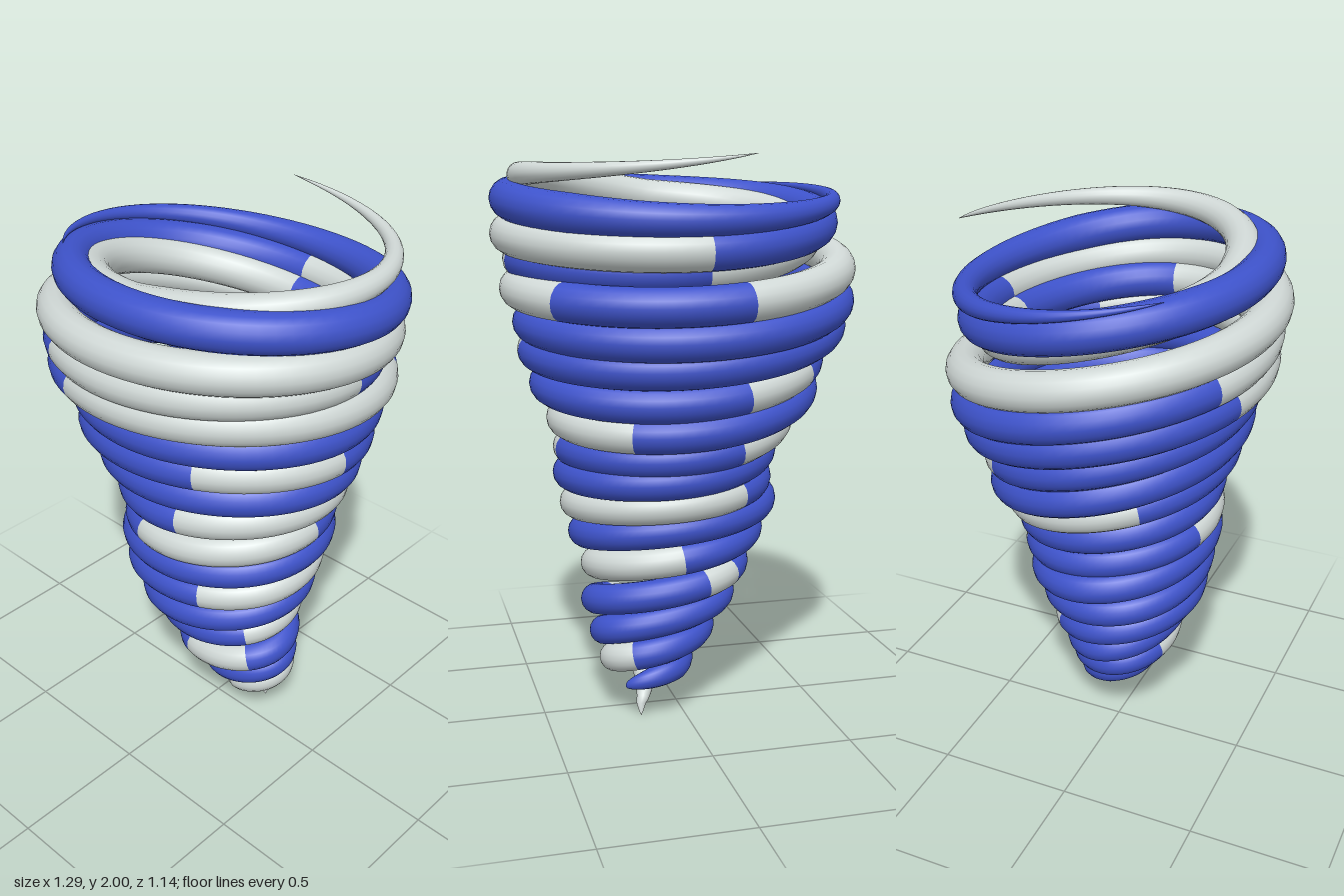
import * as THREE from 'three';

const SIDES = 16, STEPS = 72;
const { lerp, clamp, smoothstep } = THREE.MathUtils;

// Funnel profile: height, centre x, centre z, outer radius along x, along z
const PROFILE = [
  [0, .17, -.12, .03, .03], [.1, .16, -.1, .1, .09], [.18, .12, -.06, .17, .15],
  [.25, .12, -.05, .19, .17], [.37, .08, 0, .28, .21], [.5, .05, 0, .3, .24],
  [.62, .035, .015, .335, .305], [.75, .025, .02, .405, .33], [.85, .04, 0, .4, .36],
  [.97, .06, 0, .4, .375], [1.1, .025, -.02, .425, .39], [1.25, .01, 0, .53, .455],
  [1.4, .01, 0, .56, .475], [1.55, -.02, -.01, .635, .56], [1.75, .01, .01, .645, .57],
  [1.9, .02, -.01, .635, .55], [2.1, .02, -.02, .62, .55],
];

// Two interleaved strands. heights = height at the front of each turn, from turn -1.
// grey = ranges of turns that are grey, the rest is blue.
const STRANDS = [
  {
    // Ends in a long grey tail at the back
    name: 'innerStrand', start: -.75, end: 7.54, taperIn: .4, taperOut: .5,
    scale: t => .98 - .15 * smoothstep(t, 6.05, 6.65) + .23 * smoothstep(t, 6.95, 7.54),
    heights: [.06, .25, .5, .74, .95, 1.21, 1.43, 1.64, 1.87, 2.33],
    grey: [[1.15, 1.5], [2.07, 2.6], [2.95, 3.26], [3.57, 3.85], [4.55, 4.65], [5.92, 6.25], [6.5, 7.54]],
  },
  {
    // Starts in the pointed foot and ends in a short blue tip
    name: 'outerStrand', start: -.15, end: 8.87, taperIn: .16, taperOut: .5,
    scale: t => 1 - .08 * Math.exp(-(((t - 7.72) / .28) ** 2)),
    heights: [-.96, .17, .36, .62, .86, 1.07, 1.33, 1.55, 1.75, 1.89, 1.94],
    grey: [[-.15, .42], [.95, 1.14], [1.57, 1.65], [4.04, 4.42], [5.08, 5.25], [5.95, 6.35], [6.53, 7.5]],
  },
];

function profileRow(y) {
  let i = 0;
  while (i < PROFILE.length - 2 && y > PROFILE[i + 1][0]) i++;
  const a = PROFILE[i], b = PROFILE[i + 1];
  const f = clamp((y - a[0]) / (b[0] - a[0]), 0, 1);
  return a.map((v, k) => lerp(v, b[k], f));
}

// Profile averaged over a small height range, so the coils stay smooth
function profileAt(y) {
  const rows = [-.05, -.025, 0, .025, .05].map(d => profileRow(y + d));
  return rows[0].map((_, k) => rows.reduce((s, r) => s + r[k], 0) / rows.length);
}

const angleAt = t => (t - .25) * Math.PI * 2;

// Full tube radius, swelling towards the top
const tubeRadius = t => lerp(.053, .066, clamp(t / 6, 0, 1));

// Tube radius pointed at both ends of the strand
function thickness(s, t) {
  const a = clamp((t - s.start) / s.taperIn, 0, 1);
  const b = clamp((s.end - t) / s.taperOut, 0, 1);
  return tubeRadius(t) * Math.max(.01, Math.pow(a, .8) * Math.pow(b, .8));
}

// Path of a strand: t counts turns, whole numbers are at the front
function pathPoint(s, t) {
  const u = clamp(t + 1, 0, s.heights.length - 1.001);
  const i = Math.floor(u);
  const h = lerp(s.heights[i], s.heights[i + 1], u - i);
  const [, cx, cz, rx, rz] = profileAt(h);
  const a = angleAt(t), k = s.scale(t), tube = tubeRadius(t);
  // The upper coils sag towards the back
  const sag = .12 * smoothstep(h, .7, 1.35) * Math.pow((1 + Math.sin(a)) / 2, 1.5);
  return new THREE.Vector3(
    cx + Math.max(.01, rx * k - tube) * Math.cos(a),
    h - sag,
    cz - Math.max(.01, rz * k - tube) * Math.sin(a));
}

// Smooth tube of varying thickness along one part of a strand
function tubeGeometry(s, t0, t1) {
  const n = Math.max(3, Math.ceil((t1 - t0) * STEPS));
  const pos = [], nor = [], idx = [];
  for (let i = 0; i <= n; i++) {
    const t = lerp(t0, t1, i / n), a = angleAt(t);
    const p = pathPoint(s, t), r = thickness(s, t);
    const T = pathPoint(s, t + .004).sub(pathPoint(s, t - .004)).normalize();
    const N = new THREE.Vector3(Math.cos(a), 0, -Math.sin(a));
    N.addScaledVector(T, -N.dot(T)).normalize();
    const B = T.clone().cross(N);
    for (let j = 0; j <= SIDES; j++) {
      const f = j / SIDES * Math.PI * 2;
      const d = N.clone().multiplyScalar(Math.cos(f)).addScaledVector(B, Math.sin(f));
      pos.push(p.x + d.x * r, p.y + d.y * r, p.z + d.z * r);
      nor.push(d.x, d.y, d.z);
      if (i < n && j < SIDES) {
        const k = i * (SIDES + 1) + j, m = k + SIDES + 1;
        idx.push(k, k + 1, m, k + 1, m + 1, m);
      }
    }
  }
  const g = new THREE.BufferGeometry();
  g.setAttribute('position', new THREE.Float32BufferAttribute(pos, 3));
  g.setAttribute('normal', new THREE.Float32BufferAttribute(nor, 3));
  g.setIndex(idx);
  return g;
}

export function createModel() {
  const model = new THREE.Group();
  model.name = 'whirlwind';
  const blue = new THREE.MeshStandardMaterial({ color: 0x3e53cb });
  const grey = new THREE.MeshStandardMaterial({ color: 0xd0d8d6 });

  for (const s of STRANDS) {
    const strand = new THREE.Group();
    strand.name = s.name;
    const add = (t0, t1, material, name) => {
      if (t1 - t0 < .001) return;
      const mesh = new THREE.Mesh(tubeGeometry(s, t0, t1), material);
      mesh.name = name;
      strand.add(mesh);
    };
    // Alternate blue and grey stretches along the strand
    let t = s.start;
    for (const [g0, g1] of s.grey) {
      add(t, g0, blue, 'blueCoil');
      add(g0, g1, grey, 'greyCoil');
      t = g1;
    }
    add(t, s.end, blue, 'blueCoil');
    model.add(strand);
  }
  return model;
}
